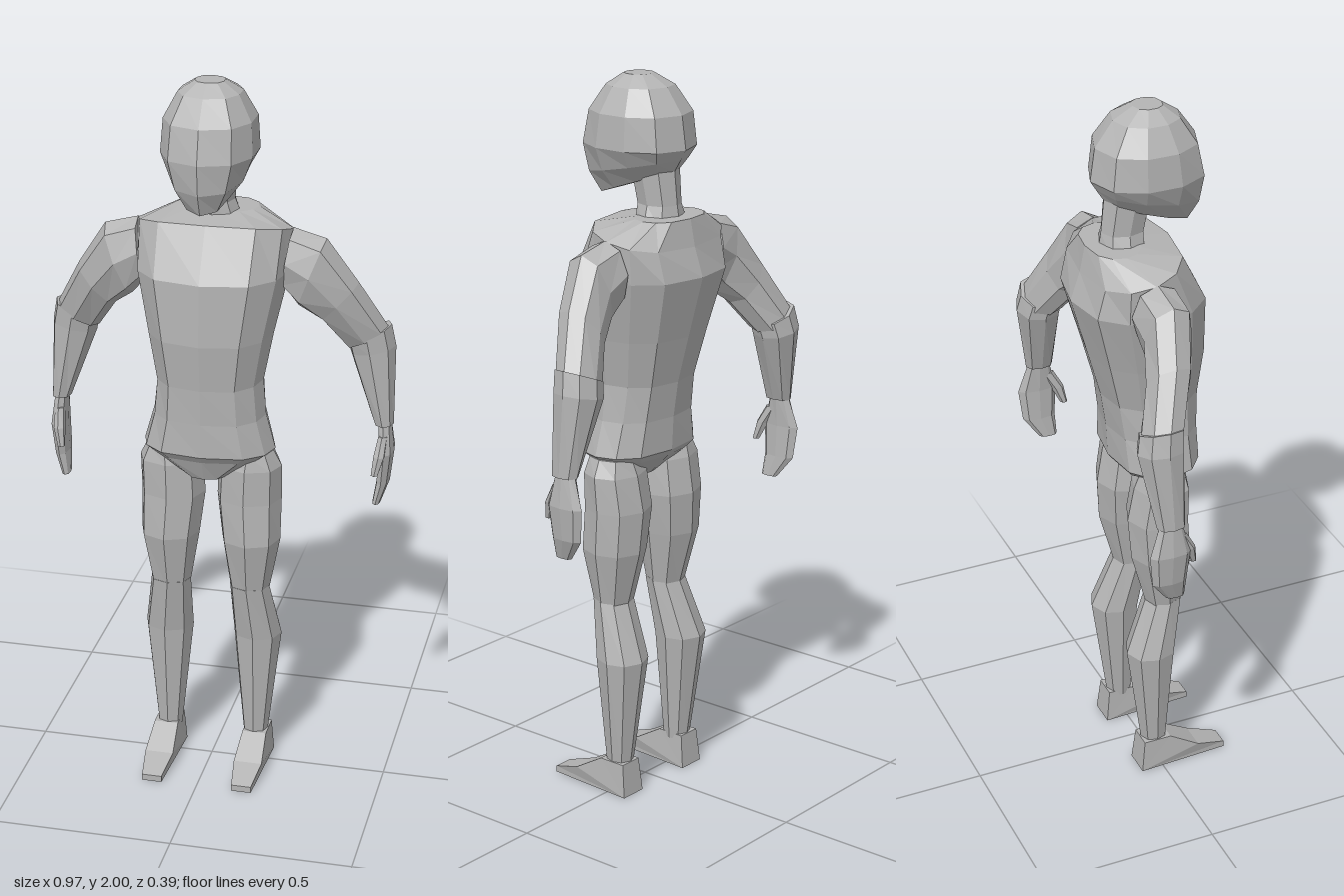
import * as THREE from 'three';

const skin = new THREE.MeshStandardMaterial({ color: 0xb4b4b4, flatShading: true });
skin.name = 'plainGrey';

// Closed loft through rings listed from top to bottom.
// Ring: [centre x, y, front z, back z, half width, slope along x, slope along z]
// s mirrors the part, n is the number of sides, p < 1 makes the rings squarer.
function loft(name, rings, { s = 1, n = 8, p = 0.8 } = {}) {
  const pos = [], index = [];
  for (const [cx, y, zf, zb, rx, tx = 0, tz = 0] of rings) {
    const cz = (zf + zb) / 2, rz = (zf - zb) / 2;
    for (let i = 0; i < n; i++) {
      const a = (i / n) * Math.PI * 2, sn = Math.sin(a);
      const dx = rx * Math.sign(sn) * Math.abs(sn) ** p;
      const dz = rz * Math.cos(a);
      pos.push(s * cx + dx, y + s * tx * dx + tz * dz, cz + dz);
    }
  }
  const last = rings.length - 1;
  for (let r = 0; r < last; r++) {
    for (let i = 0; i < n; i++) {
      const a = r * n + i, b = r * n + (i + 1) % n;
      index.push(a, a + n, b + n, a, b + n, b);
    }
  }
  // end caps
  [0, last].forEach((r, k) => {
    const c = pos.length / 3, [cx, y, zf, zb] = rings[r];
    pos.push(s * cx, y, (zf + zb) / 2);
    for (let i = 0; i < n; i++) {
      const a = r * n + i, b = r * n + (i + 1) % n;
      if (k === 0) index.push(c, a, b); else index.push(c, b, a);
    }
  });
  const g = new THREE.BufferGeometry();
  g.setAttribute('position', new THREE.Float32BufferAttribute(pos, 3));
  g.setIndex(index);
  return finish(name, g);
}

function finish(name, geometry) {
  const flat = geometry.index ? geometry.toNonIndexed() : geometry;
  flat.computeVertexNormals();
  const mesh = new THREE.Mesh(flat, skin);
  mesh.name = name;
  return mesh;
}

// Wedge foot: side profile extruded across, narrowed at the toe
function foot(name, s) {
  const shape = new THREE.Shape([
    [-0.065, 0], [0.197, 0], [0.197, 0.018], [0.11, 0.045], [0.025, 0.095], [-0.055, 0.095],
  ].map(([z, y]) => new THREE.Vector2(z, y)));
  const g = new THREE.ExtrudeGeometry(shape, { depth: 0.08, bevelEnabled: false });
  g.rotateY(-Math.PI / 2).translate(0.04, 0, 0);
  const v = g.attributes.position;
  for (let i = 0; i < v.count; i++) {
    let k = v.getZ(i) > 0.15 ? 0.7 : 1;
    if (v.getY(i) > 0.08) k = 0.85;
    v.setX(i, v.getX(i) * k + s * 0.129);
  }
  return finish(name, g);
}

export function createModel() {
  const body = new THREE.Group();
  body.name = 'figure';

  // head and neck
  body.add(loft('head', [
    [0, 1.998, 0.06, -0.02, 0.04],
    [0, 1.968, 0.105, -0.075, 0.085],
    [0, 1.9, 0.153, -0.125, 0.122],
    [0, 1.81, 0.174, -0.138, 0.128],
    [0, 1.755, 0.165, -0.122, 0.102, 0, -0.2],
    [0, 1.708, 0.14, -0.1, 0.062, 0, -0.34],
  ], { n: 10 }));
  body.add(loft('neck', [
    [0, 1.76, 0.03, -0.1, 0.06],
    [0, 1.66, 0.01, -0.11, 0.052],
    [0, 1.6, 0.01, -0.12, 0.075],
  ]));

  // trunk with flared hem, then the crotch
  body.add(loft('torso', [
    [0, 1.632, -0.015, -0.155, 0.11],
    [0, 1.59, 0.08, -0.17, 0.213, 0, 0.25],
    [0, 1.48, 0.155, -0.197, 0.207],
    [0, 1.31, 0.16, -0.15, 0.17],
    [0, 1.18, 0.145, -0.115, 0.146],
    [0, 1.08, 0.14, -0.1, 0.155],
    [0, 0.985, 0.14, -0.095, 0.182],
    [0, 0.965, 0.125, -0.08, 0.155],
    [0, 0.905, 0.1, -0.02, 0.055],
  ], { n: 12, p: 0.7 }));

  for (const [side, s] of [['left', 1], ['right', -1]]) {
    const add = (part, rings, o) => body.add(loft(side + part, rings, { s, ...o }));

    // arm
    add('UpperArm', [
      [0.2, 1.51, 0.025, -0.11, 0.012, 7],
      [0.265, 1.475, 0.028, -0.105, 0.037, 2.6],
      [0.335, 1.39, -0.005, -0.13, 0.05, 1.1],
      [0.405, 1.275, -0.06, -0.175, 0.058, 0.5],
    ]);
    add('Forearm', [
      [0.408, 1.29, -0.06, -0.18, 0.06, 0.4],
      [0.418, 1.24, -0.065, -0.19, 0.062, 0.2],
      [0.456, 1.03, -0.073, -0.152, 0.026],
    ]);
    add('Hand', [
      [0.457, 1.04, -0.085, -0.145, 0.018],
      [0.464, 0.95, -0.06, -0.175, 0.021],
      [0.457, 0.86, -0.068, -0.165, 0.018],
      [0.443, 0.8, -0.068, -0.12, 0.011],
    ]);
    add('Thumb', [
      [0.457, 1.0, -0.07, -0.11, 0.013],
      [0.452, 0.95, -0.042, -0.08, 0.016],
      [0.443, 0.9, -0.034, -0.055, 0.01],
    ], { n: 6 });

    // leg
    add('Thigh', [
      [0.115, 0.975, 0.08, -0.05, 0.06],
      [0.11, 0.93, 0.09, -0.065, 0.088],
      [0.107, 0.83, 0.092, -0.083, 0.09],
      [0.114, 0.71, 0.1, -0.075, 0.082],
      [0.112, 0.545, 0.065, -0.03, 0.053],
    ]);
    add('Shin', [
      [0.112, 0.565, 0.07, -0.03, 0.056],
      [0.127, 0.4, 0.045, -0.095, 0.068],
      [0.125, 0.08, 0.022, -0.05, 0.034],
    ]);
    body.add(foot(side + 'Foot', s));
  }
  return body;
}
